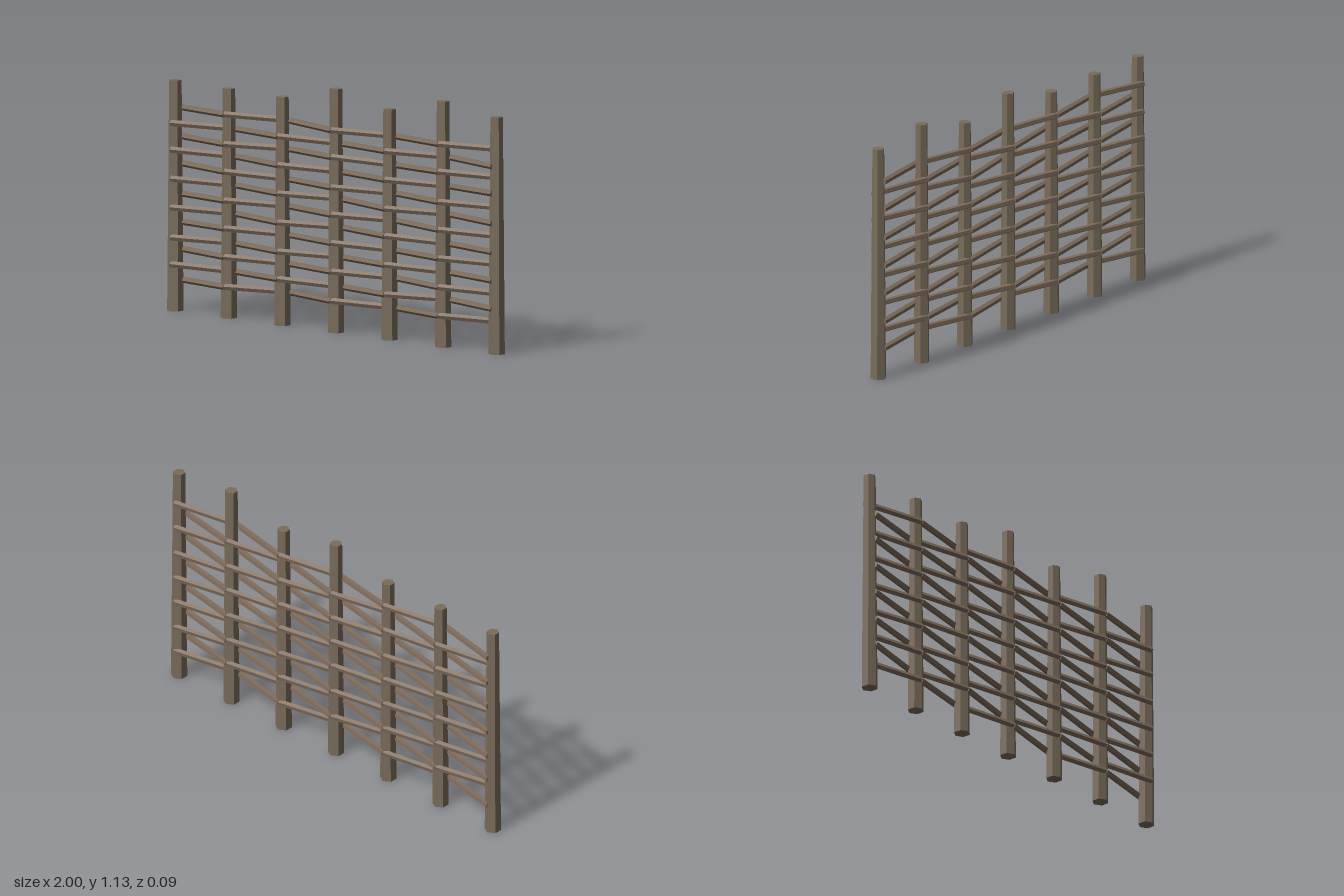
import * as THREE from 'three';

const POST_HEIGHTS = [1.06, 1.055, 1.05, 1.12, 1.06, 1.13, 1.09];
const SPACING = 0.3225;
const ROWS = 13;
const UP = new THREE.Vector3(0, 1, 0);

// Small repeatable wobble in -1..1
function wobble(row, post) {
  const s = Math.sin(row * 12.99 + post * 78.23) * 437.58;
  return (s - Math.floor(s)) * 2 - 1;
}

// Five-sided stick between two points
function stick(a, b, radius, material) {
  const dir = b.clone().sub(a);
  const mesh = new THREE.Mesh(new THREE.CylinderGeometry(radius, radius, dir.length(), 5), material);
  mesh.position.copy(a).add(b).multiplyScalar(0.5);
  mesh.quaternion.setFromUnitVectors(UP, dir.normalize());
  return mesh;
}

export function createModel() {
  const model = new THREE.Group();
  model.name = 'wattleFence';

  const postWood = new THREE.MeshStandardMaterial({ color: 0x7a6c5a, flatShading: true });
  postWood.name = 'postWood';
  const rodWood = new THREE.MeshStandardMaterial({ color: 0x7d6b5a, flatShading: true });
  rodWood.name = 'rodWood';

  // Tapered six-sided upright posts
  const postX = POST_HEIGHTS.map((_, i) => (i - 3) * SPACING);
  POST_HEIGHTS.forEach((height, i) => {
    const post = new THREE.Mesh(new THREE.CylinderGeometry(0.029, 0.038, height, 6), postWood);
    post.position.set(postX[i], height / 2, 0);
    post.name = 'post' + (i + 1);
    model.add(post);
  });

  // Rods woven alternately in front of and behind the posts
  for (let row = 0; row < ROWS; row++) {
    const rod = new THREE.Group();
    rod.name = 'wovenRod' + (row + 1);
    const points = postX.map((x, i) => new THREE.Vector3(
      x,
      0.146 + row * 0.0658 + wobble(row, i) * 0.005,
      (row + i) % 2 ? 0.03 : -0.03
    ));
    for (let i = 0; i < points.length - 1; i++) {
      const segment = stick(points[i], points[i + 1], 0.015, rodWood);
      segment.name = 'rodSegment';
      rod.add(segment);
    }
    model.add(rod);
  }

  return model;
}
